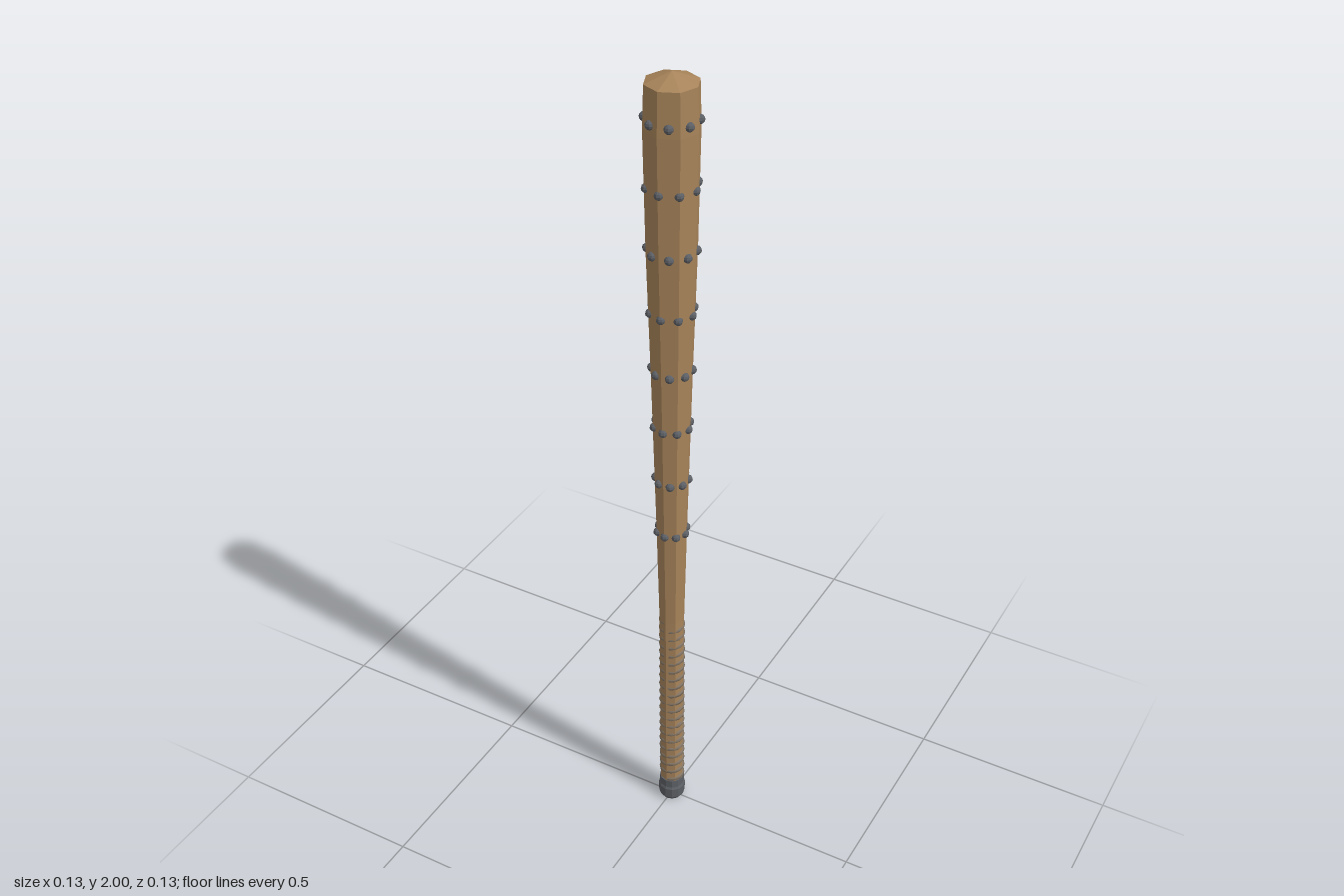
import * as THREE from 'three';

const wood = new THREE.MeshStandardMaterial({ color: 0xa8845a, flatShading: true });
const iron = new THREE.MeshStandardMaterial({ color: 0x5c5f64, flatShading: true });
const cordMat = new THREE.MeshStandardMaterial({ color: 0x857767 });

// Corner radius of the eight-sided shaft against height
const profile = [
  [0.02, 0.029], [0.6, 0.031], [0.87, 0.037], [1.3, 0.048],
  [1.6, 0.057], [1.88, 0.062], [1.978, 0.059],
];

function radiusAt(y) {
  for (let i = 1; i < profile.length; i++) {
    const [y0, r0] = profile[i - 1], [y1, r1] = profile[i];
    if (y <= y1) return THREE.MathUtils.lerp(r0, r1, (y - y0) / (y1 - y0));
  }
  return profile.at(-1)[1];
}

function lathe(name, points, sides, material) {
  const geometry = new THREE.LatheGeometry(points.map(([y, r]) => new THREE.Vector2(r, y)), sides);
  const mesh = new THREE.Mesh(geometry, material);
  mesh.name = name;
  return mesh;
}

export function createModel() {
  const club = new THREE.Group();
  club.name = 'studdedClub';

  // Tapered wooden shaft with a low pointed end
  club.add(lathe('shaft', [[0.02, 0], ...profile, [2, 0]], 8, wood));

  // Metal cap under the grip
  club.add(lathe('pommel', [
    [0, 0], [0, 0.027], [0.01, 0.033], [0.038, 0.034], [0.044, 0.031], [0.066, 0.031], [0.066, 0],
  ], 12, iron));

  // Cord wound around the grip, slightly wider from side to side
  const turns = 20, steps = turns * 16;
  const coil = [];
  for (let i = 0; i <= steps; i++) {
    const a = (i / 16) * Math.PI * 2;
    coil.push(new THREE.Vector3(
      0.0255 * Math.sin(a), 0.07 + (0.525 * i) / steps, 0.0225 * Math.cos(a)));
  }
  const cord = new THREE.Mesh(
    new THREE.TubeGeometry(new THREE.CatmullRomCurve3(coil), steps, 0.0075, 6), cordMat);
  cord.name = 'gripCord';
  club.add(cord);

  // Eight rows of studs, alternating between the corners and the faces
  const studs = new THREE.Group();
  studs.name = 'studs';
  const studGeometry = new THREE.SphereGeometry(0.0105, 8, 6);
  for (let row = 0; row < 8; row++) {
    const y = 0.865 + row * 0.148;
    const onFace = row % 2 === 1;
    const r = radiusAt(y) * (onFace ? Math.cos(Math.PI / 8) : 0.93);
    for (let k = 0; k < 8; k++) {
      const a = ((k + (onFace ? 0.5 : 0)) * Math.PI) / 4;
      const stud = new THREE.Mesh(studGeometry, iron);
      stud.name = 'stud';
      stud.position.set(r * Math.sin(a), y, r * Math.cos(a));
      stud.rotation.y = a;
      studs.add(stud);
    }
  }
  club.add(studs);
  return club;
}
